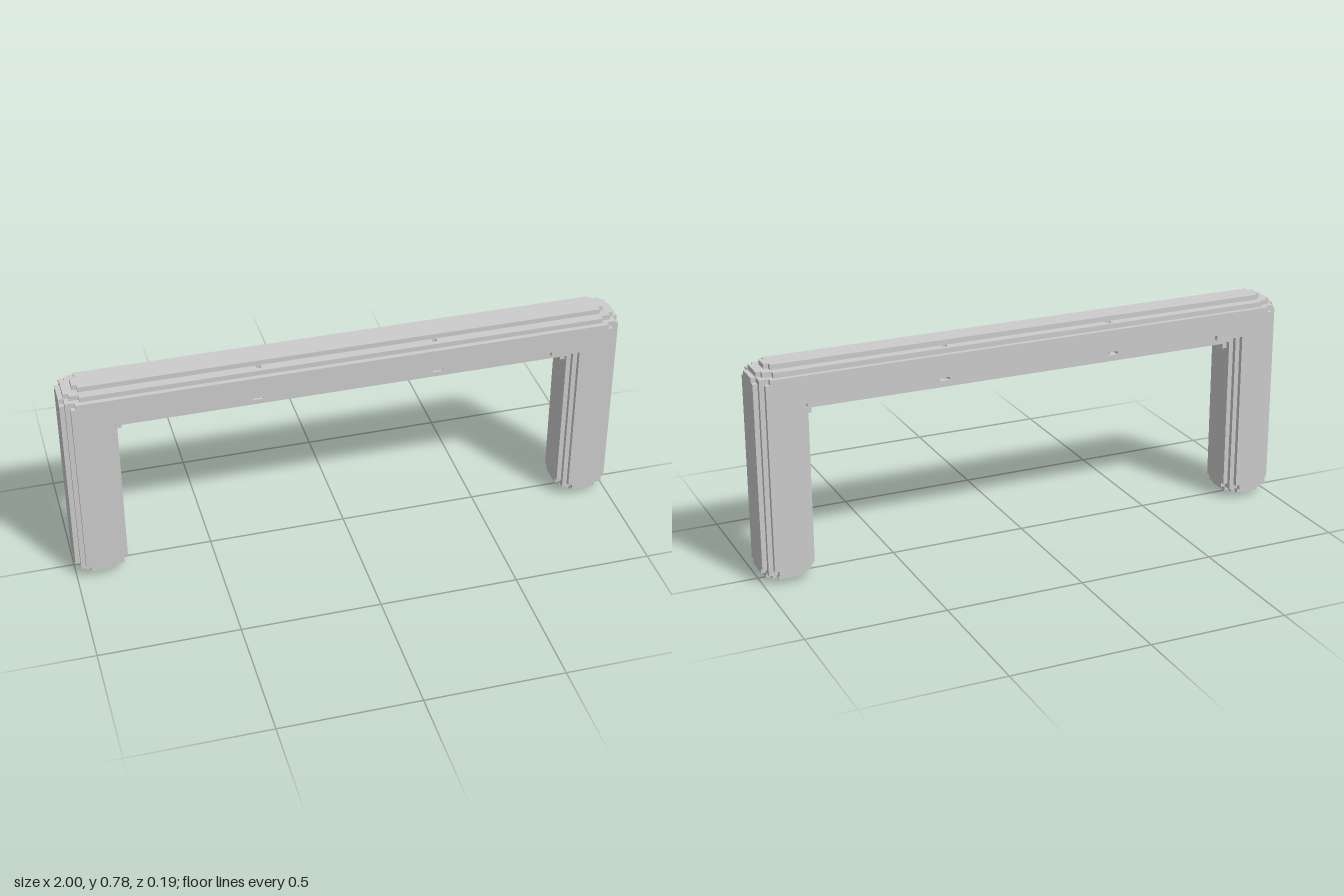
import * as THREE from 'three';

const material = new THREE.MeshStandardMaterial({ color: 0xcccccc, flatShading: true });

// Stepped end profiles: [inset from the end, half depth]
const FULL = [[0, 0.061], [0.017, 0.078], [0.034, 0.0955]];
const ROUND = [[0, 0.0435], [0.017, 0.078], [0.05, 0.0955]];
const BARCAP = [[0, 0.0435], [0.017, 0.061], [0.05, 0.078]];
const FOOTCAP = [[0, 0.0435], [0.017, 0.061], [0.034, 0.078]];
const TIP = [[0, 0.026], [0.017, 0.0435]];
const flat = (h) => [[0, h]];

// Outline of one layer, stepped at both ends
function plan(x0, x1, steps) {
  const quarter = [];
  steps.forEach(([inset, h], i) => {
    if (i > 0) quarter.push([inset, steps[i - 1][1]]);
    quarter.push([inset, h]);
  });
  const back = [...quarter].reverse();
  return new THREE.Shape([
    ...quarter.map(([d, h]) => [x1 - d, h]),
    ...back.map(([d, h]) => [x0 + d, h]),
    ...quarter.map(([d, h]) => [x0 + d, -h]),
    ...back.map(([d, h]) => [x1 - d, -h]),
  ].map(([x, z]) => new THREE.Vector2(x, z)));
}

function layer(name, y0, y1, x0, x1, steps, drilled = false) {
  const shape = plan(x0, x1, steps);
  if (drilled) {
    // Four small square holes running vertically
    for (const sx of [-1, 1]) for (const sz of [-1, 1]) {
      const cx = sx * 0.314, cz = sz * 0.0522, r = 0.0087;
      shape.holes.push(new THREE.Path([
        new THREE.Vector2(cx - r, cz - r), new THREE.Vector2(cx - r, cz + r),
        new THREE.Vector2(cx + r, cz + r), new THREE.Vector2(cx + r, cz - r),
      ]));
    }
  }
  const geometry = new THREE.ExtrudeGeometry(shape, { depth: y1 - y0, bevelEnabled: false });
  geometry.rotateX(-Math.PI / 2).translate(0, y0, 0);
  const mesh = new THREE.Mesh(geometry, material);
  mesh.name = name;
  return mesh;
}

export function createModel() {
  const model = new THREE.Group();
  model.name = 'archFrame';

  // Crossbar, stepped towards its top
  const bar = new THREE.Group();
  bar.name = 'crossbar';
  bar.add(
    layer('barBody', 0.666, 0.729, -1, 1, FULL, true),
    layer('barShoulder', 0.729, 0.747, -1, 1, ROUND, true),
    layer('barUpperStep', 0.747, 0.765, -0.983, 0.983, BARCAP, true),
    layer('barTop', 0.765, 0.783, -0.95, 0.95, TIP),
    // Narrower underside between the legs
    layer('barLowerStep', 0.63, 0.648, -0.82, 0.82, flat(0.078), true),
    layer('barUnderside', 0.612, 0.63, -0.82, 0.82, flat(0.0435)),
  );
  // Layer split by two slots that run front to back
  for (const [x0, x1] of [[-0.82, -0.341], [-0.305, 0.305], [0.341, 0.82]]) {
    bar.add(layer('barSlotLayer', 0.648, 0.666, x0, x1, flat(0.078)));
  }
  model.add(bar);

  // Legs with stepped feet and inner corner steps
  for (const side of [-1, 1]) {
    const leg = new THREE.Group();
    leg.name = side > 0 ? 'leftLeg' : 'rightLeg';
    const add = (name, y0, y1, outer, inner, steps) => {
      const [x0, x1] = [side * outer, side * inner].sort((a, b) => a - b);
      leg.add(layer(name, y0, y1, x0, x1, steps));
    };
    add('footTip', 0, 0.018, 0.95, 0.88, TIP);
    add('footStep', 0.018, 0.037, 0.983, 0.829, FOOTCAP);
    add('footShoulder', 0.037, 0.055, 1, 0.812, ROUND);
    add('legPost', 0.055, 0.666, 1, 0.812, FULL);
    add('innerCornerStep', 0.594, 0.612, 0.83, 0.795, flat(0.0435));
    add('cornerGusset', 0.648, 0.666, 0.85, 0.74, flat(0.0955));
    model.add(leg);
  }
  return model;
}
